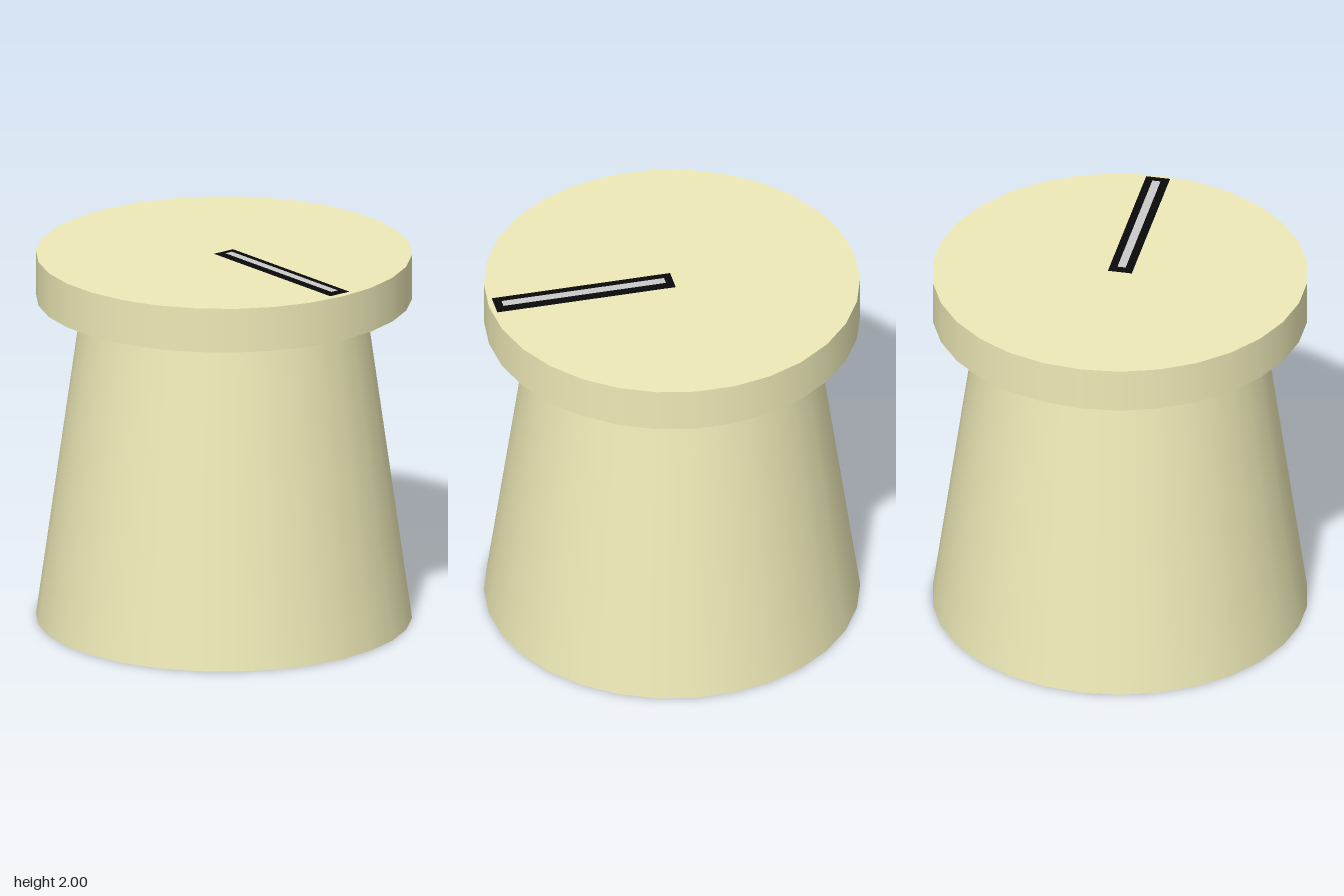
import * as THREE from 'three';

const SIDES = 30;

export function createModel() {
  const model = new THREE.Group();
  const cream = new THREE.MeshStandardMaterial({ color: 0xeeeab8 });
  const black = new THREE.MeshStandardMaterial({ color: 0x0a0a0a, side: THREE.DoubleSide });
  const grey = new THREE.MeshStandardMaterial({ color: 0xcccccc, side: THREE.DoubleSide });

  // Round solid between two heights, with a corner of its outline on the x axis
  const round = (name, rTop, rBottom, y0, y1) => {
    const geometry = new THREE.CylinderGeometry(rTop, rBottom, y1 - y0, SIDES);
    geometry.rotateY(Math.PI / 2);
    const mesh = new THREE.Mesh(geometry, cream);
    mesh.name = name;
    mesh.position.y = (y0 + y1) / 2;
    model.add(mesh);
  };

  // Flat strip lying just above the cap
  const strip = (name, x0, x1, width, y, material) => {
    const geometry = new THREE.PlaneGeometry(x1 - x0, width);
    geometry.rotateX(-Math.PI / 2);
    const mesh = new THREE.Mesh(geometry, material);
    mesh.name = name;
    mesh.position.set((x0 + x1) / 2, y, 0);
    model.add(mesh);
  };

  // Tapered body and wide cap
  round('body', 0.74, 0.985, 0, 1.75);
  round('cap', 0.985, 0.985, 1.75, 1.99);

  // Pointer marking: dark border with a pale centre line
  strip('pointerBorder', -0.005, 0.955, 0.128, 1.995, black);
  strip('pointerLine', 0.038, 0.912, 0.044, 2, grey);

  return model;
}
